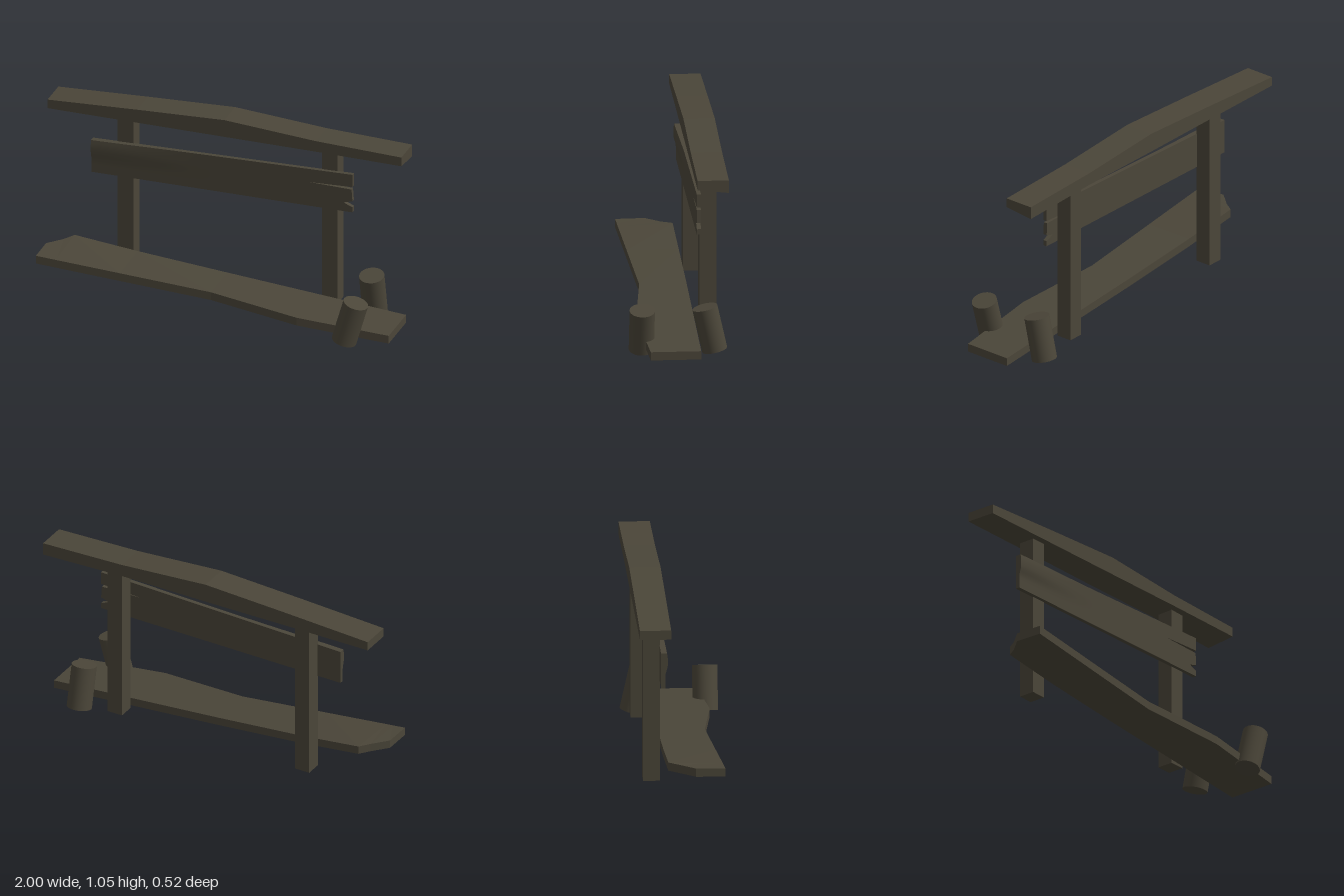
import * as THREE from 'three';

const wood = new THREE.MeshStandardMaterial({ color: 0x4b4639 });
wood.name = 'weathered wood';

function add(parent, name, geometry, x = 0, y = 0, z = 0) {
  const mesh = new THREE.Mesh(geometry, wood);
  mesh.name = name;
  mesh.position.set(x, y, z);
  parent.add(mesh);
  return mesh;
}

// Plank lofted along x through four-cornered sections
// Each section: front bottom, back bottom, back top, front top as [x, y, z]
function loftPlank(sections) {
  const pos = [];
  const quad = (a, b, c, d) => pos.push(...a, ...b, ...c, ...a, ...c, ...d);
  for (let s = 0; s < sections.length - 1; s++) {
    const p = sections[s], q = sections[s + 1];
    for (let i = 0; i < 4; i++) {
      const j = (i + 1) % 4;
      quad(p[i], p[j], q[j], q[i]);
    }
  }
  const first = sections[0], last = sections[sections.length - 1];
  quad(last[0], last[1], last[2], last[3]);
  quad(first[3], first[2], first[1], first[0]);
  const geometry = new THREE.BufferGeometry();
  geometry.setAttribute('position', new THREE.Float32BufferAttribute(pos, 3));
  geometry.computeVertexNormals();
  return geometry;
}

// Crown beam: x, front bottom y, back bottom y, top y
function beamGeometry() {
  const stations = [
    [-1, 0.95, 0.95, 1.0],
    [-0.5, 0.95, 0.948, 1.026],
    [-0.01, 0.95, 0.944, 1.048],
    [0.5, 0.95, 0.944, 1.012],
    [0.98, 0.946, 0.928, 0.997],
  ];
  return loftPlank(stations.map(([x, fb, bb, t]) => [
    [x, fb, -0.088], [x, bb, -0.253], [x, t, -0.253], [x, t, -0.088],
  ]));
}

// Sloping bottom plank: x, front z, back z, lift of the back edge
function lowerPlankGeometry() {
  const stations = [
    [-0.96, 0.2, 0.045, 0.002],
    [-0.89, 0.196, -0.035, 0.007],
    [-0.85, 0.194, -0.095, 0.013],
    [-0.5, 0.174, -0.1, 0.003],
    [0, 0.146, -0.104, 0],
    [0.5, 0.2, -0.105, 0],
    [1, 0.16, -0.106, 0],
  ];
  return loftPlank(stations.map(([x, f, b, lift]) => {
    const y = 0.18 - 0.079 * (x + 0.96), t = 0.045;
    return [[x, y, f], [x, y + lift, b], [x, y + t + lift, b], [x, y + t, f]];
  }));
}

const boardTop = (x) => 0.8 + 0.0274 * (x + 0.76);
const boardBottom = (x) => 0.61 + 0.007 * (x + 0.76);
const boardSplit = -0.1;

// Split right half of the sign board
function splitBoardGeometry() {
  const outline = [
    [boardSplit, boardBottom(boardSplit)], [0.7, 0.62], [0.7, 0.65], [0.65, 0.67],
    [0.7, 0.685], [0.695, 0.753], [0.45, 0.757], [0.7, 0.768], [0.7, 0.84],
    [boardSplit, boardTop(boardSplit)],
  ].map(([x, y]) => new THREE.Vector2(x, y));
  return new THREE.ExtrudeGeometry(new THREE.Shape(outline), { depth: 0.023, bevelEnabled: false });
}

// Warped left half, its upper front swelling towards the free end
function warpedBoardGeometry() {
  const length = boardSplit + 0.76;
  const geometry = new THREE.BoxGeometry(length, 1, 0.023, 12, 12, 1);
  const p = geometry.attributes.position;
  for (let i = 0; i < p.count; i++) {
    const u = p.getX(i) / length + 0.5, v = p.getY(i) + 0.5;
    const x = -0.76 + u * length;
    const swell = THREE.MathUtils.smoothstep(v, 0.35, 0.68) * (1 - 0.35 * THREE.MathUtils.smoothstep(v, 0.85, 1));
    const fade = 1 - THREE.MathUtils.smoothstep(u, 0, 0.95);
    const front = p.getZ(i) > 0 ? 0.013 * swell * fade : 0;
    p.setXYZ(i, x, THREE.MathUtils.lerp(boardBottom(x), boardTop(x), v), p.getZ(i) + front);
  }
  geometry.computeVertexNormals();
  return geometry;
}

export function createModel() {
  const model = new THREE.Group();
  model.name = 'wooden signpost';

  add(model, 'topBeam', beamGeometry());
  add(model, 'lowerPlank', lowerPlankGeometry());

  // Upright posts
  for (const [name, x] of [['rightPost', -0.577], ['leftPost', 0.565]]) {
    add(model, name, new THREE.BoxGeometry(0.088, 0.9, 0.09), x, 0.51, -0.17);
  }

  // Sign board
  const board = new THREE.Group();
  board.name = 'signBoard';
  add(board, 'splitBoardEnd', splitBoardGeometry(), 0, 0, -0.128);
  add(board, 'warpedBoardEnd', warpedBoardGeometry(), 0, 0, -0.1165);
  model.add(board);

  // Leaning log stubs
  const log = new THREE.CylinderGeometry(0.067, 0.067, 0.238, 32);
  add(model, 'frontLog', log, 0.795, 0.134, 0.192).rotation.z = -0.28;
  add(model, 'backLog', log, 0.795, 0.134, -0.166).rotation.x = 0.22;

  return model;
}
